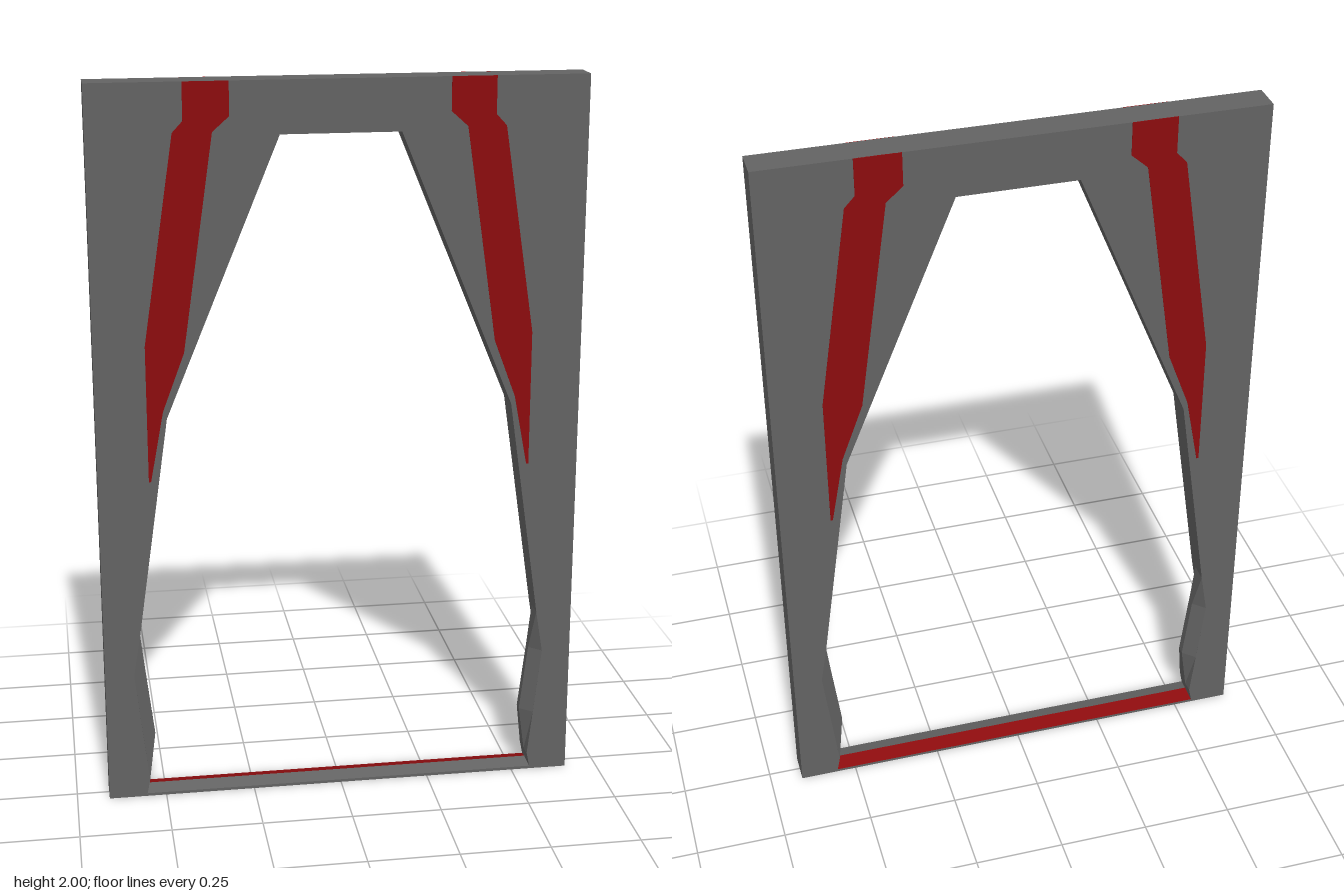
import * as THREE from 'three';

const HALF = 0.042; // half thickness of the panel

const grey = new THREE.MeshStandardMaterial({ color: 0x636363, side: THREE.DoubleSide });
grey.name = 'frame grey';
const red = new THREE.MeshStandardMaterial({ color: 0x8c0c0e, side: THREE.DoubleSide });
red.name = 'stripe red';

function extrude(points, depth) {
  const shape = new THREE.Shape(points.map(([x, y]) => new THREE.Vector2(x, y)));
  const geo = new THREE.ExtrudeGeometry(shape, { depth, bevelEnabled: false });
  return geo.translate(0, 0, -depth / 2);
}

// Skin a list of equally long cross-sections with flat quads
function loft(sections) {
  const pos = [];
  for (let i = 0; i < sections.length - 1; i++) {
    const a = sections[i], b = sections[i + 1];
    for (let j = 0; j < a.length - 1; j++) {
      pos.push(...a[j], ...b[j], ...b[j + 1], ...a[j], ...b[j + 1], ...a[j + 1]);
    }
  }
  const geo = new THREE.BufferGeometry();
  geo.setAttribute('position', new THREE.Float32BufferAttribute(pos, 3));
  geo.computeVertexNormals();
  return geo;
}

export function createModel() {
  const model = new THREE.Group();
  model.name = 'gateFrame';
  const add = (name, geo, mat) => {
    const mesh = new THREE.Mesh(geo, mat);
    mesh.name = name;
    model.add(mesh);
    return mesh;
  };

  // Frame: one flat arch, mirrored from its +x half
  const half = [
    [0.16, 1.86], [0.47, 1.11], [0.56, 0.49], [0.58, 0.37], [0.545, 0.05], [0.555, 0], [0.66, 0], [0.66, 2],
  ];
  const mirrored = half.map(([x, y]) => [-x, y]).reverse();
  add('frame', extrude([...half, ...mirrored], HALF * 2), grey);

  // Painted stripe outline, +x side
  const stripe = [
    [0.29, 2], [0.29, 1.91], [0.335, 1.87], [0.42, 1.29], [0.48, 1.13], [0.517, 0.935],
    [0.523, 0.935], [0.523, 1.31], [0.438, 1.87], [0.41, 1.90], [0.41, 2],
  ];
  // Rib inside each post: height, x at the faces, x at the ridge
  const rib = [[0.49, 0.56, 0.56], [0.37, 0.58, 0.547], [0.18, 0.559, 0.525], [0.05, 0.545, 0.543], [0, 0.555, 0.553]];

  for (const s of [1, -1]) {
    const side = s > 0 ? 'left' : 'right';
    for (const f of [1, -1]) {
      const plate = add(`${side}${f > 0 ? 'Front' : 'Back'}Stripe`,
        extrude(stripe.map(([x, y]) => [s * x, y]), 0.002), red);
      plate.position.z = f * HALF;
    }
    add(`${side}PostRib`, loft(rib.map(([y, face, ridge]) => {
      const row = [[s * face, y, HALF], [s * ridge, y, 0.012], [s * ridge, y, -0.012], [s * face, y, -HALF]];
      return s > 0 ? row : row.reverse();
    })), grey);
  }

  // Sill: a low ridged threshold, red on its back slope
  const sill = (pts) => loft([-0.56, 0.56].map((x) => pts.map(([y, z]) => [x, y, z])));
  add('sill', sill([[0.008, -HALF], [0, -HALF], [0, HALF], [0.008, HALF], [0.02, 0]]), grey);
  add('sillBackSlope', sill([[0.02, 0], [0.008, -HALF]]), red);
  return model;
}
